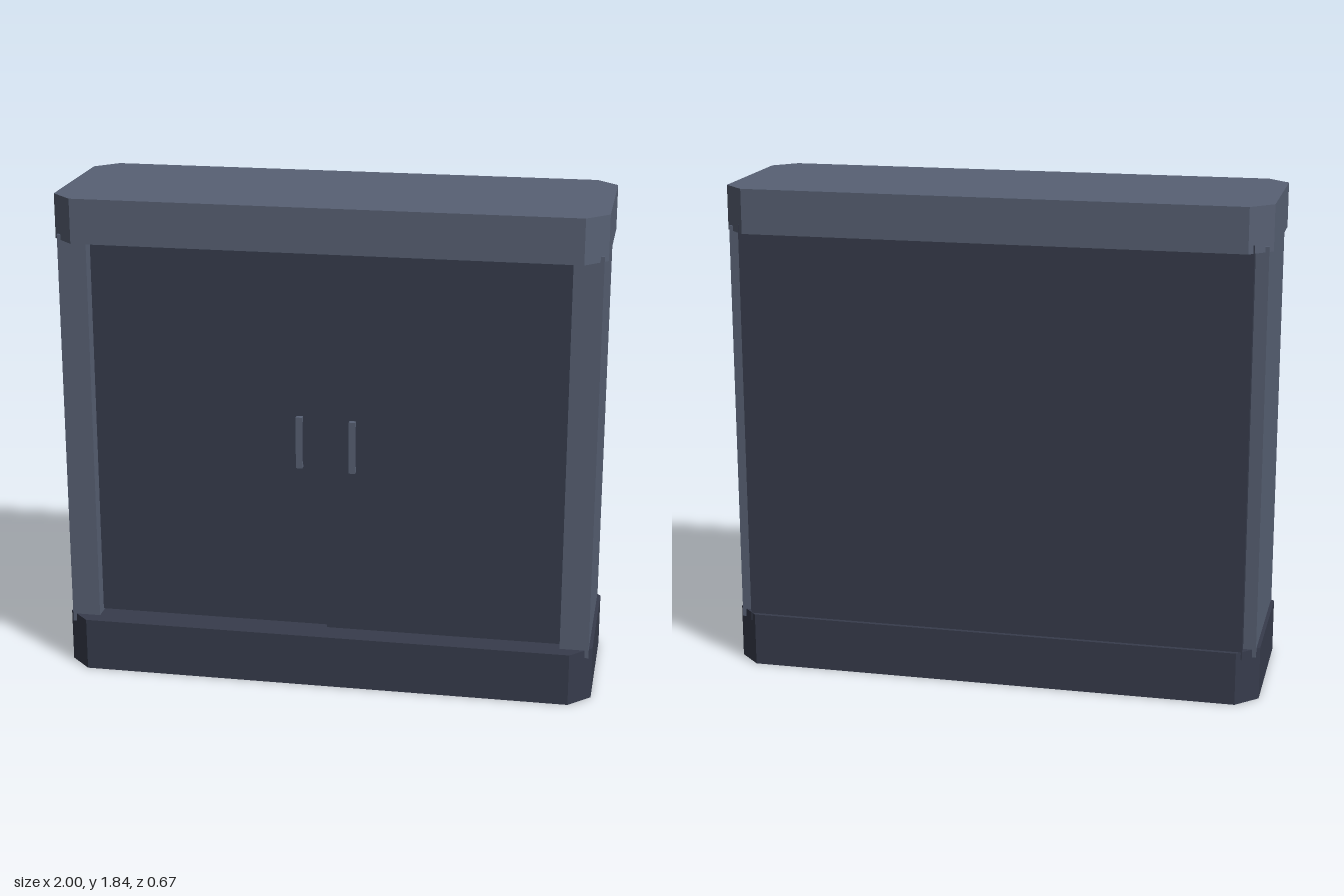
import * as THREE from 'three';

export function createModel() {
  const model = new THREE.Group();
  model.name = 'cabinet';

  const lightGrey = new THREE.MeshStandardMaterial({ color: 0x586174 });
  lightGrey.name = 'slate grey';
  const darkGrey = new THREE.MeshStandardMaterial({ color: 0x373c4c });
  darkGrey.name = 'dark slate';

  // Box given by its lower and upper limits on each axis
  function box(name, material, [x0, x1], [y0, y1], [z0, z1], parent = model) {
    const mesh = new THREE.Mesh(new THREE.BoxGeometry(x1 - x0, y1 - y0, z1 - z0), material);
    mesh.position.set((x0 + x1) / 2, (y0 + y1) / 2, (z0 + z1) / 2);
    mesh.name = name;
    parent.add(mesh);
    return mesh;
  }

  // Slab with cut corners, used for the plinth and the top
  function slab(name, material, y0, y1) {
    const w = 1, d = 0.333, c = 0.08;
    const shape = new THREE.Shape([
      [w - c, -d], [w, c - d], [w, d - c], [w - c, d],
      [c - w, d], [-w, d - c], [-w, c - d], [c - w, -d],
    ].map(([x, z]) => new THREE.Vector2(x, z)));
    const geometry = new THREE.ExtrudeGeometry(shape, { depth: y1 - y0, bevelEnabled: false });
    geometry.rotateX(-Math.PI / 2);
    const mesh = new THREE.Mesh(geometry, material);
    mesh.position.y = y0;
    mesh.name = name;
    model.add(mesh);
  }

  slab('plinth', darkGrey, 0, 0.2);
  slab('top', lightGrey, 1.67, 1.835);

  // Carcass: the panels are let slightly into the plinth and top
  box('leftSide', lightGrey, [0.88, 0.987], [0.17, 1.69], [-0.28, 0.28]);
  box('rightSide', lightGrey, [-0.987, -0.88], [0.17, 1.69], [-0.28, 0.28]);
  box('backPanel', darkGrey, [-0.94, 0.94], [0.17, 1.7], [-0.317, -0.28]);
  box('floor', darkGrey, [-0.88, 0.88], [0.19, 0.207], [-0.28, 0.2]);

  // Sliding doors run on two tracks, one in front of the other
  function door(name, xRange, front, handleX) {
    const group = new THREE.Group();
    group.name = name;
    box('doorPanel', darkGrey, xRange, [0.207, 1.67], [front - 0.025, front], group);
    const x = [handleX - 0.012, handleX + 0.012];
    box('handleBar', lightGrey, x, [0.835, 1.032], [front + 0.01, front + 0.02], group);
    for (const y of [0.835, 1.012]) {
      box('handlePost', lightGrey, x, [y, y + 0.02], [front, front + 0.01], group);
    }
    model.add(group);
  }
  door('rightDoor', [-0.88, 0.01], 0.228, -0.104);
  door('leftDoor', [0, 0.88], 0.253, 0.098);

  return model;
}
